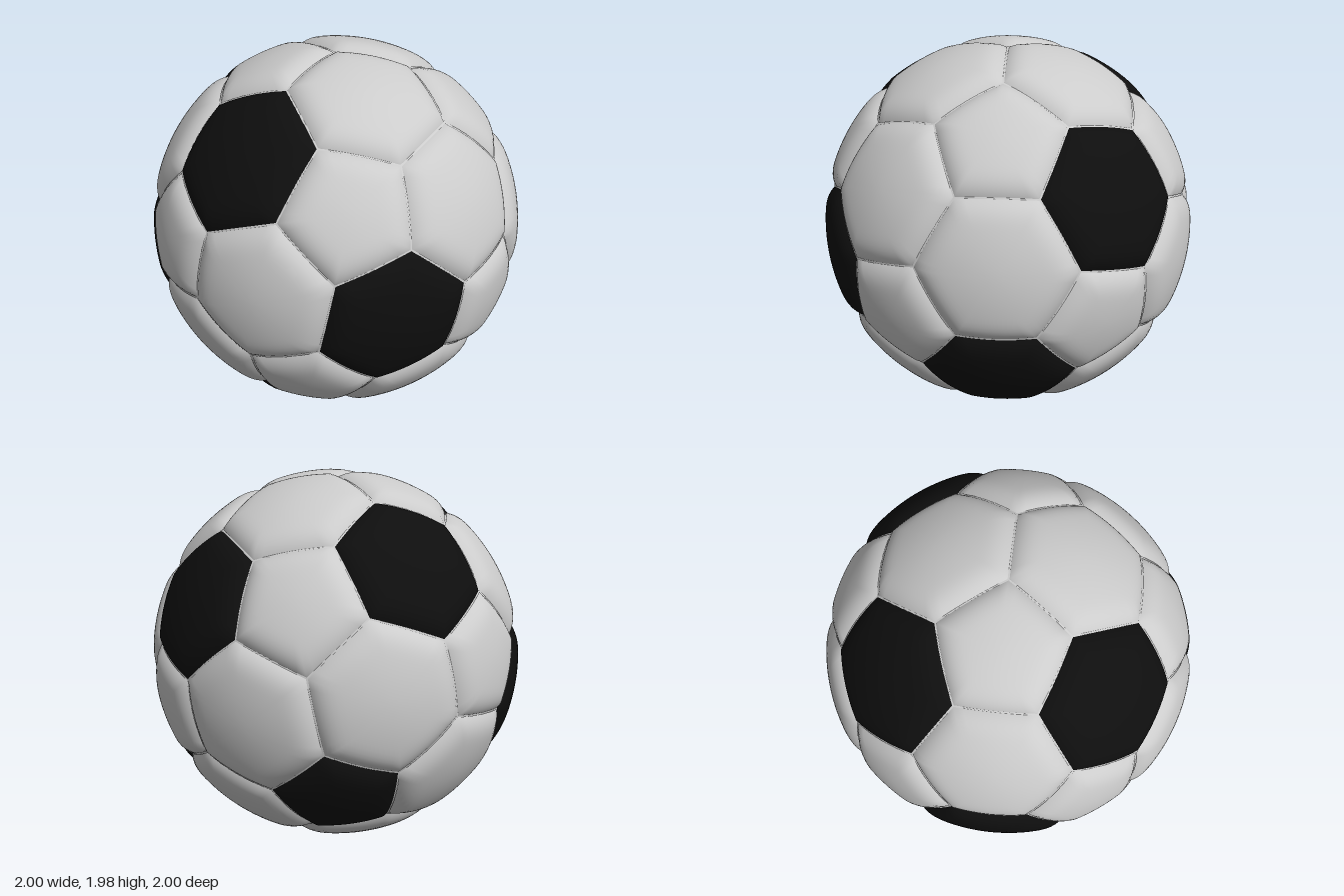
import * as THREE from 'three';

const SIDE_STEPS = 8;   // points along each panel side
const RINGS = 14;       // rings from panel centre to seam
const SEAM_RADIUS = 0.965;
const PAD_WIDTH = 0.15; // width of the rounded panel border

// Twelve icosahedron corners, turned to the ball's resting pose
function icosahedronCorners() {
  const zAxis = new THREE.Vector3(0.592, -0.195, 0.782).normalize();
  const yAxis = new THREE.Vector3(-0.797, 0, 0.604);
  const xAxis = new THREE.Vector3().crossVectors(yAxis, zAxis).normalize();
  yAxis.crossVectors(zAxis, xAxis);
  const pose = new THREE.Matrix4().makeBasis(xAxis, yAxis, zAxis);
  const phi = (1 + Math.sqrt(5)) / 2;
  const corners = [];
  for (const a of [-1, 1]) {
    for (const b of [-phi, phi]) {
      corners.push([0, a, b], [a, b, 0], [b, 0, a]);
    }
  }
  return corners.map((c) => new THREE.Vector3(...c).normalize().applyMatrix4(pose));
}

// Corners of one panel, counter-clockwise seen from outside
function panelCorners(center, seamPoints, count) {
  const u = new THREE.Vector3(0.31, 0.52, 0.79).cross(center).normalize();
  const v = new THREE.Vector3().crossVectors(center, u);
  const angle = (p) => Math.atan2(p.dot(v), p.dot(u));
  return [...seamPoints]
    .sort((p, q) => q.dot(center) - p.dot(center))
    .slice(0, count)
    .sort((p, q) => angle(p) - angle(q));
}

// Padded panel: spherical in the middle, rounded down towards the seam
function panelGeometry(center, corners) {
  const n = corners.length * SIDE_STEPS;
  const middle = corners[0].clone().add(corners[1]).normalize();
  const apothem = center.angleTo(middle);
  const positions = [center.x, center.y, center.z];
  const index = [];
  const p = new THREE.Vector3();
  for (let r = 1; r <= RINGS; r++) {
    const t = 1 - (1 - r / RINGS) ** 1.6; // rings gather near the seam
    const u = Math.min(1, ((1 - t) * apothem) / PAD_WIDTH);
    const radius = SEAM_RADIUS + (1 - SEAM_RADIUS) * (1 - (1 - u) ** 3);
    for (let k = 0; k < n; k++) {
      const side = Math.floor(k / SIDE_STEPS);
      p.lerpVectors(corners[side], corners[(side + 1) % corners.length], (k % SIDE_STEPS) / SIDE_STEPS);
      p.lerp(center, 1 - t * 0.987).setLength(radius);
      positions.push(p.x, p.y, p.z);
      const next = (k + 1) % n;
      const outer = 1 + (r - 1) * n;
      const inner = outer - n;
      if (r === 1) index.push(0, outer + k, outer + next);
      else index.push(inner + k, outer + k, outer + next, inner + k, outer + next, inner + next);
    }
  }
  const geometry = new THREE.BufferGeometry();
  geometry.setAttribute('position', new THREE.Float32BufferAttribute(positions, 3));
  geometry.setIndex(index);
  geometry.computeVertexNormals();
  return geometry;
}

export function createModel() {
  const ball = new THREE.Group();
  ball.name = 'ball';
  ball.position.y = 1;
  const light = new THREE.MeshStandardMaterial({ color: 0xcccccc });
  const dark = new THREE.MeshStandardMaterial({ color: 0x0e0e0e });

  // Panel centres and the sixty seam points of a truncated icosahedron
  const pentagons = icosahedronCorners();
  const adjacent = (a, b) => a !== b && a.dot(b) > 0.4;
  const seamPoints = [];
  const hexagons = [];
  pentagons.forEach((a, i) => pentagons.forEach((b, j) => {
    if (!adjacent(a, b)) return;
    seamPoints.push(a.clone().lerp(b, 1 / 3).normalize());
    pentagons.forEach((c, k) => {
      if (i < j && j < k && adjacent(a, c) && adjacent(b, c)) {
        hexagons.push(a.clone().add(b).add(c).normalize());
      }
    });
  }));

  // Dark panels: the one nearest to each direction
  const nearest = (list, d) => {
    const dir = new THREE.Vector3(...d);
    return list.reduce((best, c) => (c.dot(dir) > best.dot(dir) ? c : best));
  };
  const darkCenters = new Set([
    [-0.52, -0.07, 0.85], [0.51, -0.52, 0.68], [0.88, 0.44, 0.19], [-0.72, 0.69, 0],
    [0.18, 0.7, -0.69], [-0.6, -0.17, -0.79], [-0.24, -0.96, -0.11],
  ].map((d) => nearest(hexagons, d)));
  darkCenters.add(nearest(pentagons, [0.64, -0.52, -0.57]));

  const addPanels = (centers, sides, name) => centers.forEach((center) => {
    const geometry = panelGeometry(center, panelCorners(center, seamPoints, sides));
    const isDark = darkCenters.has(center);
    const panel = new THREE.Mesh(geometry, isDark ? dark : light);
    panel.name = (isDark ? 'dark' : 'light') + name;
    ball.add(panel);
  });
  addPanels(pentagons, 5, 'PentagonPanel');
  addPanels(hexagons, 6, 'HexagonPanel');

  // Core showing in the seams
  const core = new THREE.Mesh(new THREE.SphereGeometry(0.962, 64, 48), light);
  core.name = 'seamCore';
  ball.add(core);

  const model = new THREE.Group();
  model.name = 'pannelledBall';
  model.add(ball);
  return model;
}
